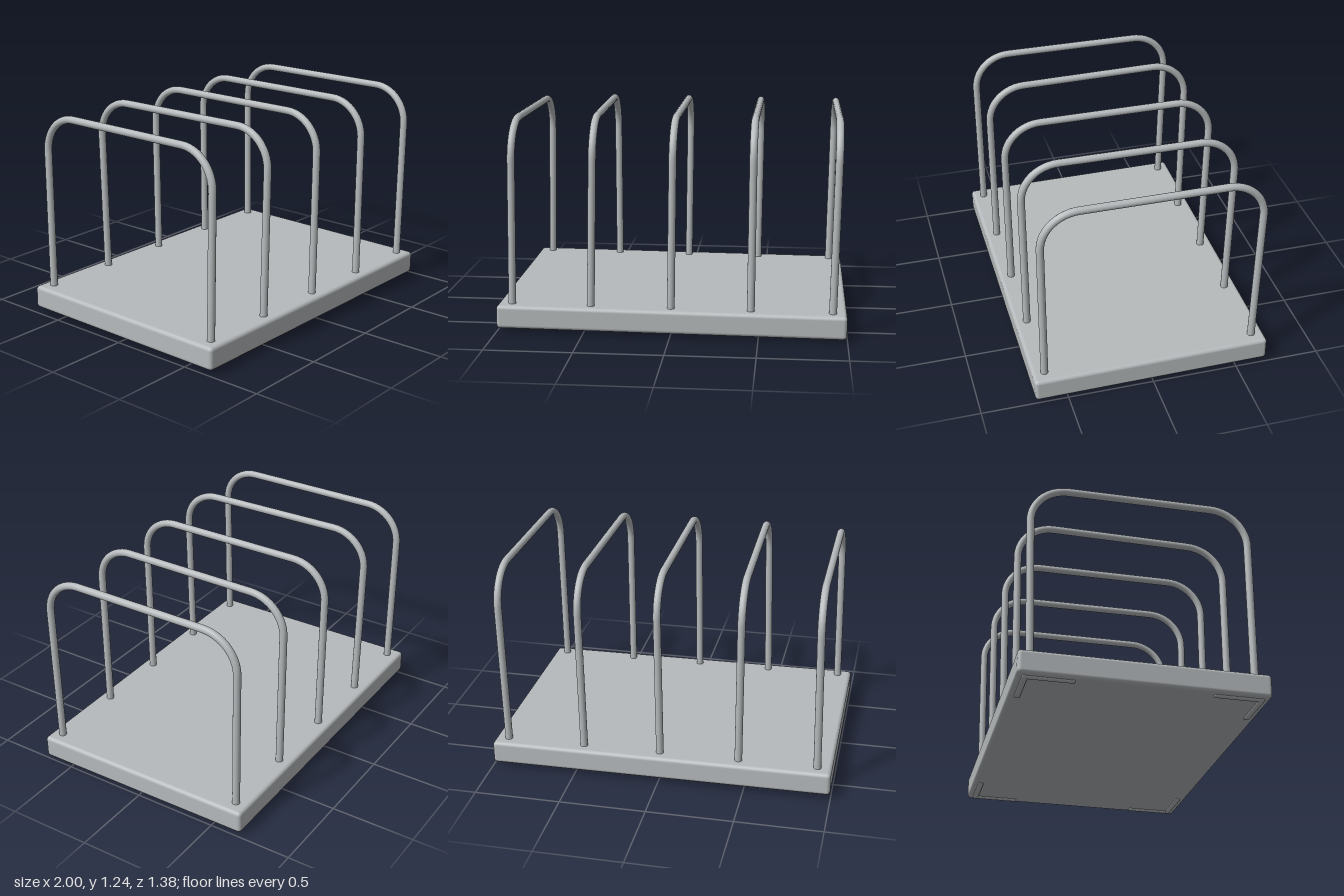
import * as THREE from 'three';
import { RoundedBoxGeometry } from 'three/addons/geometries/RoundedBoxGeometry.js';

const TUBE = 0.022;

// Path of one hoop: up the front leg, across the top, down the back leg.
// frontX/backX are the x positions of the two upper corners.
function hoopPath(footX, frontX, backX, top) {
  const V = (x, y, z) => new THREE.Vector3(x, y, z);
  const mid = (a, b, t) => a.clone().lerp(b, t);
  const foot = V(footX, 0.12, 0.617), backFoot = V(footX, 0.12, -0.612);
  const corner = V(frontX, top, 0.622), backCorner = V(backX, top, -0.63);
  const bend = 0.215, k = 0.448; // corner radius and the circular arc factor
  const leg = bend / (top - 0.12), bar = bend / 1.252;
  const a = mid(corner, foot, leg), b = mid(corner, backCorner, bar);
  const c = mid(backCorner, corner, bar), d = mid(backCorner, backFoot, leg);
  const path = new THREE.CurvePath();
  path.add(new THREE.LineCurve3(foot, a));
  path.add(new THREE.CubicBezierCurve3(a, mid(corner, a, k), mid(corner, b, k), b));
  path.add(new THREE.LineCurve3(b, c));
  path.add(new THREE.CubicBezierCurve3(c, mid(backCorner, c, k), mid(backCorner, d, k), d));
  path.add(new THREE.LineCurve3(d, backFoot));
  return path;
}

export function createModel() {
  const model = new THREE.Group();
  model.name = 'hoopRack';
  const metal = new THREE.MeshStandardMaterial({ color: 0xb6babc });
  metal.name = 'light grey metal';

  const add = (parent, name, geometry, x = 0, y = 0, z = 0) => {
    const mesh = new THREE.Mesh(geometry, metal);
    mesh.name = name;
    mesh.position.set(x, y, z);
    parent.add(mesh);
  };

  // Base slab with its feet, standing very slightly tilted
  const base = new THREE.Group();
  base.name = 'base';
  base.position.y = 0.09;
  base.rotation.set(0.0075, 0, -0.0075);
  model.add(base);
  add(base, 'slab', new RoundedBoxGeometry(1.995, 0.135, 1.375, 4, 0.022));

  // L-shaped foot under each corner
  const footLong = 0.28, footWide = 0.032, footHigh = 0.03, footY = -0.0625;
  for (const sx of [-1, 1]) {
    for (const sz of [-1, 1]) {
      const foot = new THREE.Group();
      foot.name = 'cornerFoot';
      base.add(foot);
      add(foot, 'footAlongWidth', new RoundedBoxGeometry(footLong, footHigh, footWide, 3, 0.01),
        sx * (0.965 - footLong / 2), footY, sz * (0.655 - footWide / 2));
      add(foot, 'footAlongDepth', new RoundedBoxGeometry(footWide, footHigh, footLong, 3, 0.01),
        sx * (0.965 - footWide / 2), footY, sz * (0.655 - footLong / 2));
    }
  }

  // Five bent hoops, each leaning a little: foot x, front x, back x, top height
  const hoops = [
    [-0.915, -0.897, -0.897, 1.208],
    [-0.46, -0.435, -0.465, 1.222],
    [0, 0.015, 0.012, 1.22],
    [0.455, 0.462, 0.468, 1.216],
    [0.917, 0.936, 0.934, 1.214],
  ];
  for (const h of hoops) {
    add(model, 'hoop', new THREE.TubeGeometry(hoopPath(...h), 120, TUBE, 16, false));
  }
  return model;
}
